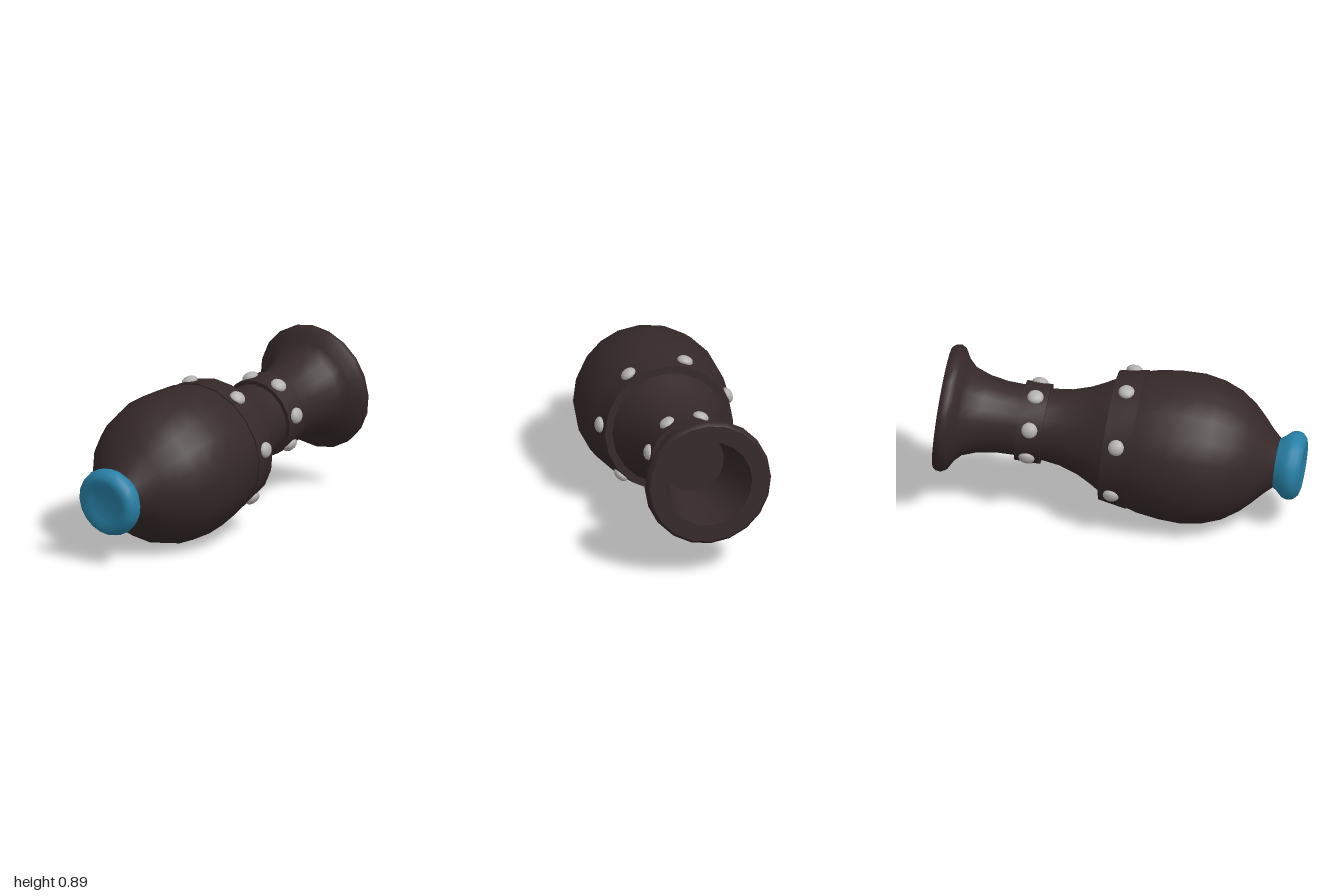
import * as THREE from 'three';
import { toCreasedNormals } from 'three/addons/utils/BufferGeometryUtils.js';

const SIDES = 20;

// Lathe from [axis position, radius] pairs; y runs from the knob towards the mouth
function turned(name, profile, material, crease = 0.6) {
  const points = profile.map(([s, r]) => new THREE.Vector2(r, s));
  const geometry = toCreasedNormals(new THREE.LatheGeometry(points, SIDES), crease);
  const mesh = new THREE.Mesh(geometry, material);
  mesh.name = name;
  return mesh;
}

// Ring of flattened domes; angles in degrees are measured from the top, towards +x
function studRing(name, count, start, s, radius, material) {
  const ring = new THREE.Group();
  ring.name = name;
  const dome = new THREE.SphereGeometry(1, 12, 8);
  dome.scale(0.044, 0.044, 0.028);
  for (let i = 0; i < count; i++) {
    const a = THREE.MathUtils.degToRad(start + (i * 360) / count);
    const stud = new THREE.Mesh(dome, material);
    stud.name = 'stud';
    stud.position.set(Math.sin(a) * radius, s, Math.cos(a) * radius);
    stud.rotation.y = a;
    ring.add(stud);
  }
  return ring;
}

export function createModel() {
  const dark = new THREE.MeshStandardMaterial({ color: 0x352829 });
  dark.name = 'darkBrown';
  const blue = new THREE.MeshStandardMaterial({ color: 0x2780a6 });
  blue.name = 'blue';
  const silver = new THREE.MeshStandardMaterial({ color: 0xb4b2b0 });
  silver.name = 'silver';

  const model = new THREE.Group();
  model.name = 'studdedVessel';
  const axis = new THREE.Group();
  axis.name = 'tiltedAxis';
  model.add(axis);

  // Bulb, neck, flared mouth and hollow throat
  axis.add(turned('body', [
    [-0.85, 0], [-0.85, 0.13], [-0.80, 0.175], [-0.74, 0.24], [-0.683, 0.295], [-0.6, 0.352],
    [-0.5, 0.39], [-0.39, 0.409], [-0.27, 0.405], [-0.15, 0.39], [-0.05, 0.362],
    [0.06, 0.315], [0.13, 0.275], [0.2, 0.24], [0.3, 0.208], [0.4, 0.195], [0.55, 0.192],
    [0.65, 0.195], [0.75, 0.212], [0.83, 0.241], [0.87, 0.28], [0.9, 0.332],
    [0.925, 0.346], [0.955, 0.343], [0.972, 0.328],
    [0.972, 0.235], [0.8, 0.195], [0.6, 0.17], [0.6, 0],
  ], dark, 0.75));

  // Raised bands around shoulder and neck
  axis.add(turned('shoulderBand', [
    [-0.087, 0.33], [-0.087, 0.379], [0.066, 0.353], [0.066, 0.29],
  ], dark));
  axis.add(turned('neckBand', [
    [0.41, 0.18], [0.41, 0.217], [0.547, 0.217], [0.547, 0.18],
  ], dark));

  // Metal studs
  axis.add(studRing('shoulderStuds', 7, 33, -0.008, 0.364, silver));
  axis.add(studRing('neckStuds', 7, 30, 0.478, 0.215, silver));

  // Knob at the closed end, with a shallow dished face
  axis.add(turned('knob', [
    [-0.977, 0], [-0.977, 0.095], [-0.99, 0.13], [-0.982, 0.157], [-0.96, 0.18],
    [-0.93, 0.188], [-0.9, 0.18], [-0.865, 0.148], [-0.83, 0.125],
  ], blue, 0.8));

  // Lay the axis down: mouth towards -z, raised by six degrees
  axis.rotation.x = THREE.MathUtils.degToRad(-84);
  axis.position.y = 0.457;
  return model;
}
